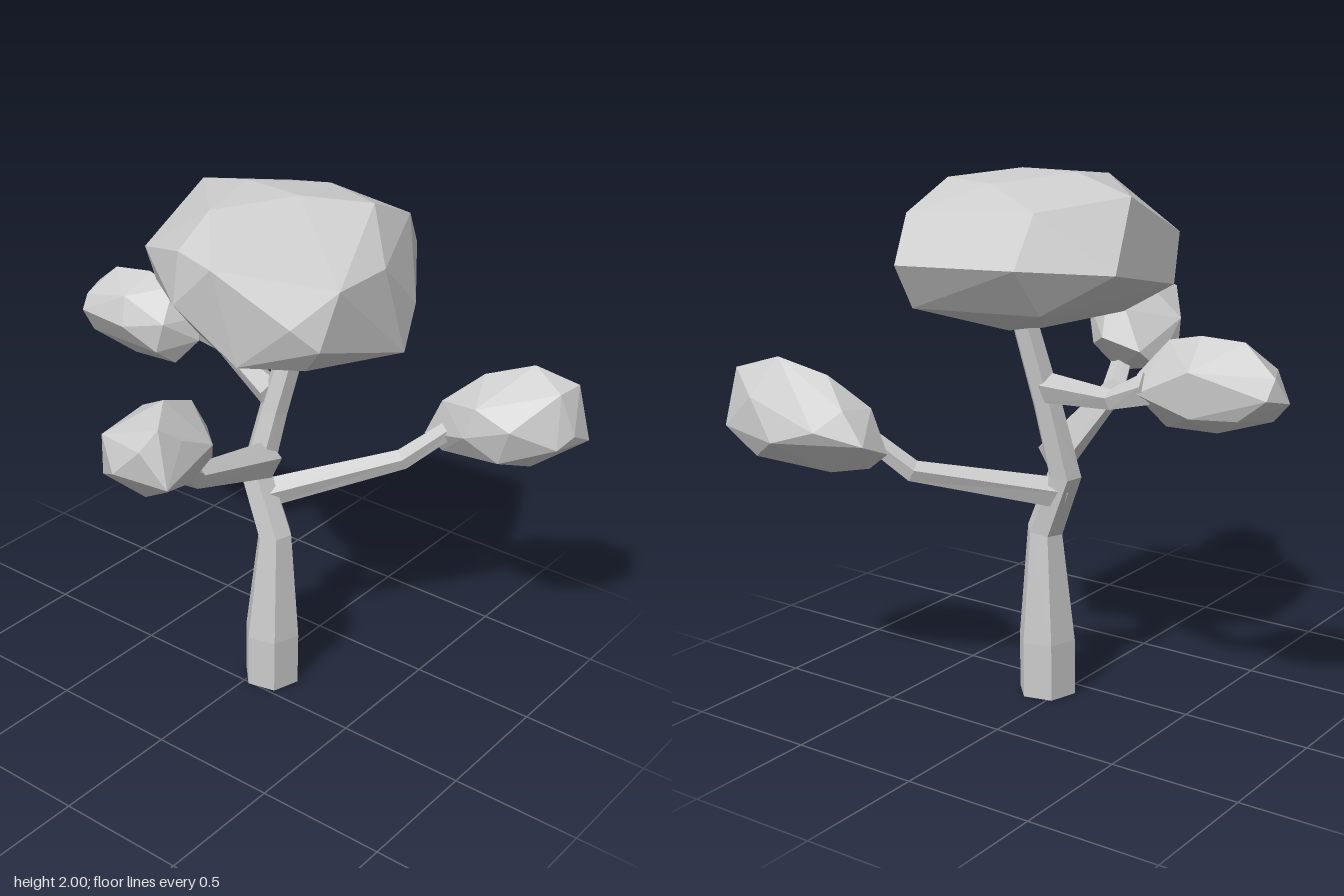
import * as THREE from 'three';
import { ConvexGeometry } from 'three/addons/geometries/ConvexGeometry.js';

const material = new THREE.MeshStandardMaterial({ color: 0xcccccc, flatShading: true });

// Faceted limb: a polygon ring at each [x, y, z, radius] station, joined and capped.
function limb(name, stations, sides, ref, phase) {
  const centres = stations.map(([x, y, z]) => new THREE.Vector3(x, y, z));
  const last = stations.length - 1;
  const pos = [], index = [];
  stations.forEach(([, , , r], i) => {
    const t = new THREE.Vector3();
    if (i > 0) t.add(centres[i].clone().sub(centres[i - 1]).normalize());
    if (i < last) t.add(centres[i + 1].clone().sub(centres[i]).normalize());
    t.normalize();
    const side = ref.clone().cross(t).normalize();
    const up = t.clone().cross(side);
    for (let j = 0; j < sides; j++) {
      const a = phase + (j / sides) * Math.PI * 2;
      const p = centres[i].clone()
        .addScaledVector(side, r * Math.cos(a))
        .addScaledVector(up, r * Math.sin(a));
      pos.push(p.x, p.y, p.z);
    }
  });
  for (let i = 0; i < last; i++) {
    for (let j = 0; j < sides; j++) {
      const a = i * sides + j, b = i * sides + ((j + 1) % sides);
      index.push(a, b, a + sides, b, b + sides, a + sides);
    }
  }
  const top = last * sides;
  for (let j = 1; j < sides - 1; j++) {
    index.push(0, j + 1, j, top, top + j, top + j + 1);
  }
  const geo = new THREE.BufferGeometry();
  geo.setAttribute('position', new THREE.Float32BufferAttribute(pos, 3));
  geo.setIndex(index);
  geo.computeVertexNormals();
  const mesh = new THREE.Mesh(geo, material);
  mesh.name = name;
  return mesh;
}

// Rock-like leaf clump: the convex hull of a few corner points.
function foliage(name, points) {
  const mesh = new THREE.Mesh(
    new ConvexGeometry(points.map((p) => new THREE.Vector3(...p))), material);
  mesh.name = name;
  return mesh;
}

export function createModel() {
  const tree = new THREE.Group();
  tree.name = 'tree';
  const Y = new THREE.Vector3(0, 1, 0), Z = new THREE.Vector3(0, 0, 1);

  // Crooked six-sided trunk
  tree.add(limb('trunk', [
    [0.06, 0, -0.1, 0.113], [0.06, 0.22, -0.1, 0.113], [0.06, 0.65, -0.11, 0.07],
    [-0.03, 0.88, -0.11, 0.066], [0.01, 1.15, -0.16, 0.056], [0.07, 1.47, -0.22, 0.05],
  ], 6, Z, 0.227));

  // Three bent branches
  tree.add(limb('frontBranch', [
    [0.0, 0.95, -0.12, 0.075], [0.06, 1.1, 0.36, 0.048], [0.1, 1.22, 0.5, 0.04],
  ], 5, Y, 0.3));
  tree.add(limb('leftBranch', [
    [-0.02, 0.8, -0.1, 0.06], [0.37, 0.92, -0.5, 0.042], [0.56, 1.1, -0.62, 0.035],
  ], 5, Y, 0.3));
  tree.add(limb('rightBranch', [
    [0.01, 1.21, -0.16, 0.06], [-0.38, 1.255, -0.33, 0.038], [-0.52, 1.31, -0.32, 0.06],
  ], 5, Y, 0.3));

  // Large crown on the trunk
  tree.add(foliage('crown', [
    [-0.15, 2, -0.2], [0.1, 2, -0.18], [0.3, 1.97, -0.35], [-0.1, 1.97, 0.07],
    [0.05, 1.97, -0.43], [-0.4, 1.94, -0.25], [0.46, 1.81, -0.2], [0.45, 1.8, 0.05],
    [-0.1, 1.87, 0.24], [-0.2, 1.9, -0.53], [0.25, 1.71, -0.71], [-0.19, 1.72, -0.63],
    [0.3, 1.87, -0.58], [-0.45, 1.7, -0.42], [-0.35, 1.7, -0.48], [-0.38, 1.78, 0.1],
    [-0.1, 1.68, 0.27], [0.07, 1.85, 0.27], [0.35, 1.68, 0.19], [0.43, 1.6, 0.13],
    [-0.42, 1.61, 0], [0.5, 1.48, -0.28], [0.46, 1.62, -0.4], [0.25, 1.55, -0.62],
    [-0.18, 1.48, 0.05], [0.15, 1.5, 0.23], [0, 1.44, -0.2], [0.1, 1.43, -0.27],
    [-0.2, 1.55, -0.5], [0.35, 1.5, 0.1],
  ]));

  // Smaller clumps at the branch ends
  tree.add(foliage('frontFoliage', [
    [0.1, 1.3, 0.33], [-0.04, 1.25, 0.38], [-0.07, 1.18, 0.46], [0.1, 1.15, 0.45],
    [0.2, 1.25, 0.42], [0.15, 1.17, 0.6], [0.05, 1.4, 0.42], [0.18, 1.49, 0.5],
    [0.19, 1.55, 0.65], [0.28, 1.52, 0.78], [0.05, 1.47, 0.6], [0.33, 1.4, 0.57],
    [0.31, 1.46, 0.7], [0.35, 1.34, 0.82], [0.26, 1.46, 0.85], [0.15, 1.35, 0.86],
    [0.05, 1.44, 0.8], [0.02, 1.27, 0.77], [0.2, 1.24, 0.76], [-0.08, 1.35, 0.62],
    [-0.08, 1.22, 0.6], [0.3, 1.28, 0.65],
  ]));
  tree.add(foliage('leftFoliage', [
    [0.4, 1.0, -0.6], [0.41, 1.05, -0.72], [0.47, 1.16, -0.6], [0.47, 0.94, -0.62],
    [0.56, 1.1, -0.81], [0.5, 1.17, -0.72], [0.6, 0.92, -0.68], [0.62, 1.08, -0.52],
    [0.6, 1.28, -0.68], [0.72, 1.05, -0.86], [0.77, 1.34, -0.75], [0.65, 1.2, -0.54],
    [0.8, 0.94, -0.72], [0.75, 1.0, -0.56], [0.8, 1.15, -0.54], [0.83, 1.2, -0.84],
    [0.93, 1.29, -0.8], [0.91, 1.28, -0.7], [0.98, 1.07, -0.82], [0.97, 1.12, -0.72],
    [0.94, 1.08, -0.65], [0.85, 0.97, -0.8],
  ]));
  tree.add(foliage('rightFoliage', [
    [-0.99, 1.3, -0.2], [-0.96, 1.39, -0.25], [-0.95, 1.32, -0.29], [-0.83, 1.49, -0.22],
    [-0.68, 1.5, -0.25], [-0.55, 1.47, -0.24], [-0.46, 1.35, -0.3], [-0.45, 1.26, -0.27],
    [-0.53, 1.16, -0.22], [-0.72, 1.16, -0.2], [-0.91, 1.22, -0.16], [-0.9, 1.33, -0.09],
    [-0.9, 1.39, -0.12], [-0.68, 1.32, -0.08], [-0.52, 1.35, -0.14], [-0.55, 1.23, -0.13],
    [-0.7, 1.4, -0.37], [-0.7, 1.24, -0.36], [-0.5, 1.3, -0.37], [-0.7, 1.43, -0.12],
    [-0.85, 1.24, -0.3],
  ]));
  return tree;
}
